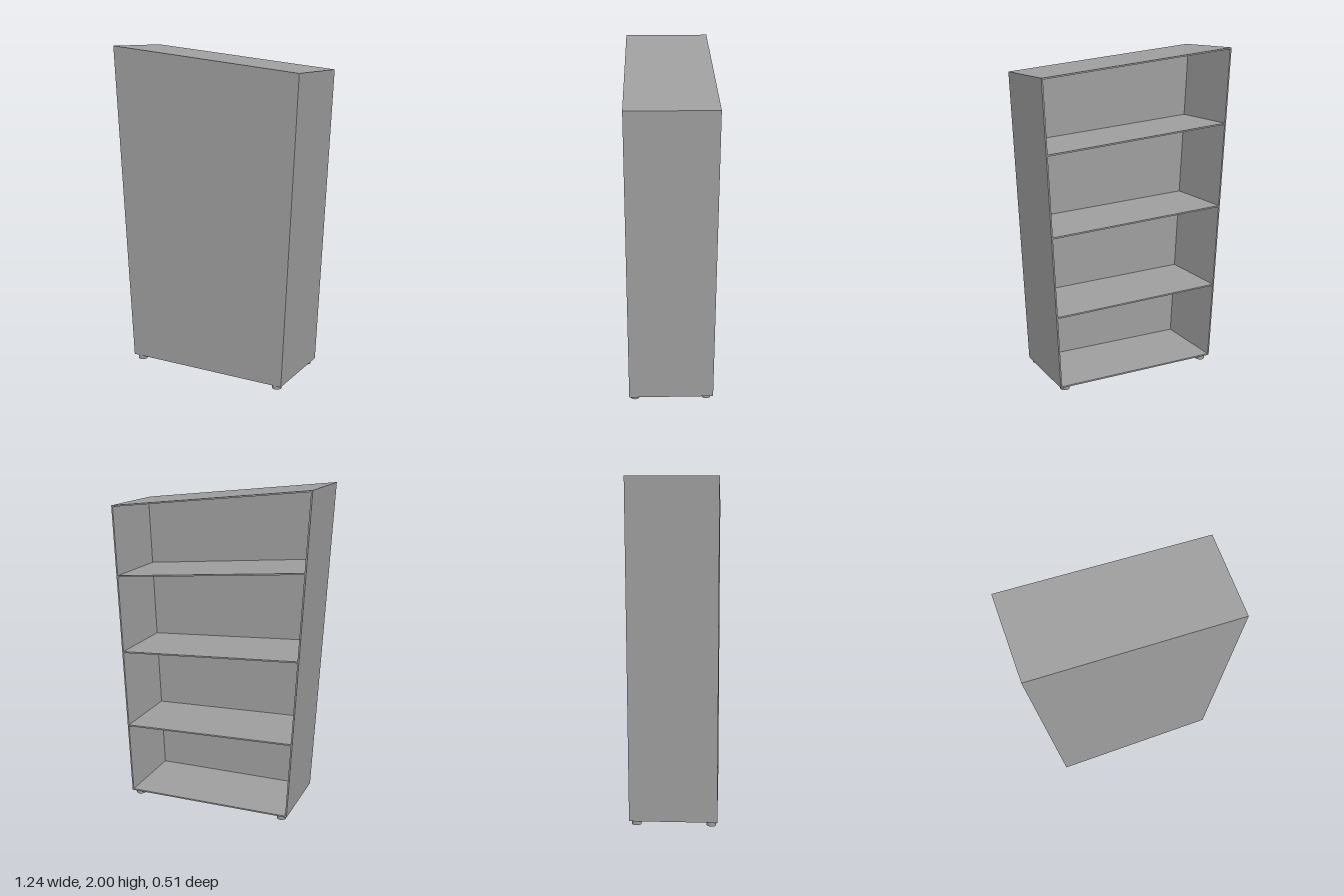
import * as THREE from 'three';

const material = new THREE.MeshStandardMaterial({ color: 0x9e9e9e, flatShading: true });
const footMaterial = new THREE.MeshStandardMaterial({ color: 0x9e9e9e, side: THREE.DoubleSide });
const T = 0.009;            // board thickness
const PANEL = 0.04;         // closed panel thickness
const D = 0.257;            // half depth
const BOTTOM_L = [0.537, 0.025], TOP_L = [0.618, 1.865];
const BOTTOM_R = [-0.513, 0.029], TOP_R = [-0.619, 2.0];

// Point on a slanted side at height y, moved inwards by inset
function onSide(bottom, top, y, inset) {
  const k = (y - bottom[1]) / (top[1] - bottom[1]);
  const x = bottom[0] + (top[0] - bottom[0]) * k;
  return [x - Math.sign(x) * inset, y];
}

// Board with an outline in the front plane, running from z0 to z1
function board(name, points, z0, z1) {
  const shape = new THREE.Shape(points.map(p => new THREE.Vector2(p[0], p[1])));
  const geometry = new THREE.ExtrudeGeometry(shape, { depth: z1 - z0, bevelEnabled: false });
  geometry.translate(0, 0, z0);
  const mesh = new THREE.Mesh(geometry, material);
  mesh.name = name;
  return mesh;
}

// Board across the case whose upper face meets the sides at yR and yL
function crossBoard(name, yR, yL, inset) {
  return board(name, [
    onSide(BOTTOM_R, TOP_R, yR - T, inset), onSide(BOTTOM_L, TOP_L, yL - T, inset),
    onSide(BOTTOM_L, TOP_L, yL, inset), onSide(BOTTOM_R, TOP_R, yR, inset),
  ], -D, D - PANEL);
}

export function createModel() {
  const model = new THREE.Group();
  model.name = 'slantedBookcase';

  // Closed panel on the front, open shelves behind it
  model.add(board('closedPanel', [BOTTOM_R, BOTTOM_L, TOP_L, TOP_R], D - PANEL, D));

  // Leaning sides, their ends kept within the top and base boards
  for (const [name, b, t] of [['leftSide', BOTTOM_L, TOP_L], ['rightSide', BOTTOM_R, TOP_R]]) {
    const low = b[1] + T / 2, high = t[1] - T / 2;
    model.add(board(name, [
      onSide(b, t, low, 0), onSide(b, t, high, 0), onSide(b, t, high, T), onSide(b, t, low, T),
    ], -D, D - PANEL));
  }

  // Sloping top and base
  model.add(crossBoard('topBoard', TOP_R[1], TOP_L[1], 0));
  model.add(crossBoard('baseBoard', BOTTOM_R[1] + T, BOTTOM_L[1] + T, 0));

  // Shelves, tilting more towards the top
  [[0.511, 0.477], [1.027, 0.963], [1.544, 1.442]].forEach(([yR, yL], i) => {
    model.add(crossBoard('shelf' + (i + 1), yR, yL, T));
  });

  // Small round feet, hollow underneath
  const footGeometry = new THREE.CylinderGeometry(0.03, 0.028, 0.03, 24, 1, true);
  for (const x of [-0.47, 0.495]) {
    for (const z of [-0.216, 0.222]) {
      const foot = new THREE.Mesh(footGeometry, footMaterial);
      foot.name = 'foot';
      foot.position.set(x, 0.015, z);
      model.add(foot);
    }
  }
  return model;
}
